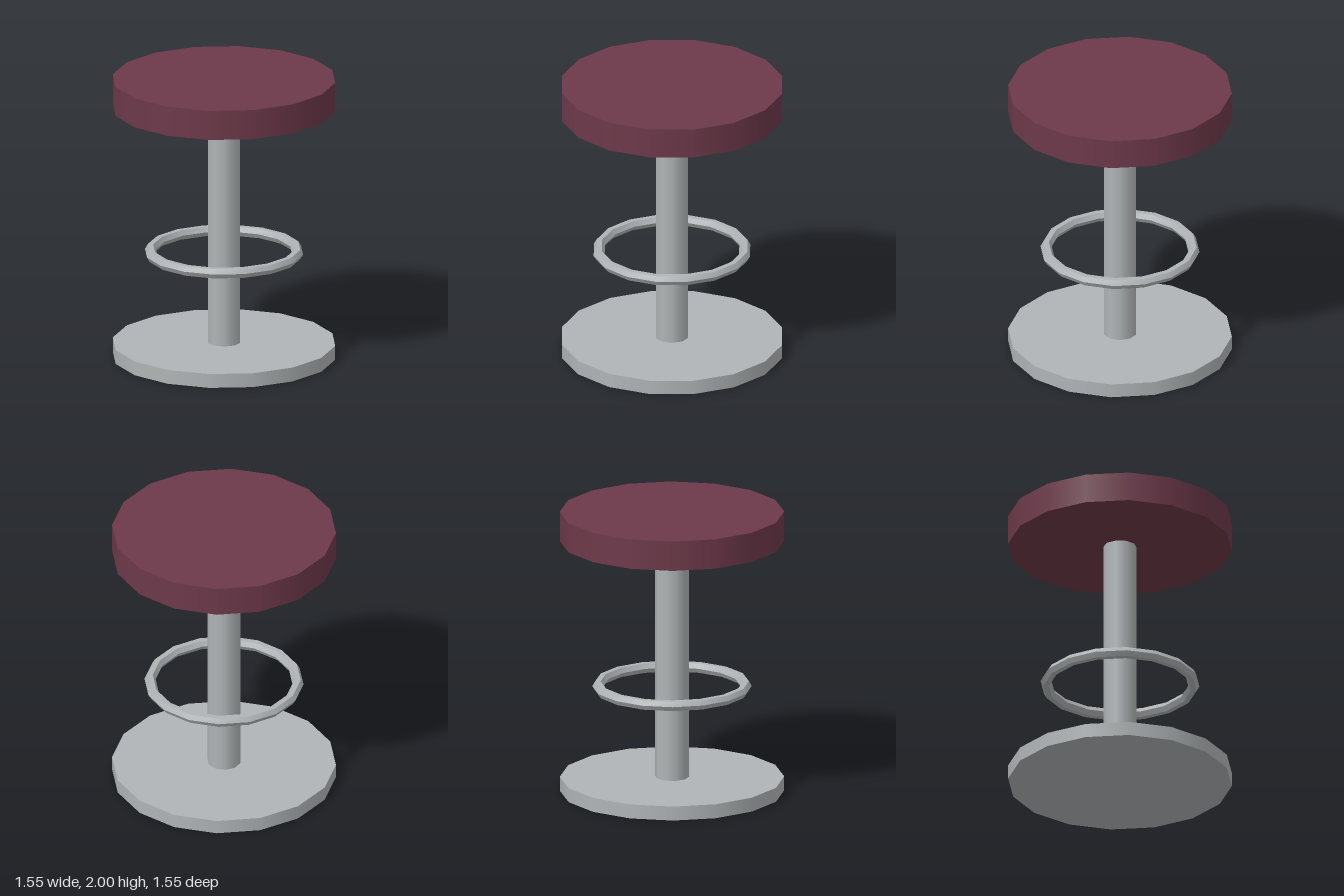
import * as THREE from 'three';
import { toCreasedNormals } from 'three/addons/utils/BufferGeometryUtils.js';

export function createModel() {
  const stool = new THREE.Group();
  stool.name = 'barStool';

  const upholstery = new THREE.MeshStandardMaterial({ color: 0x6e394a });
  upholstery.name = 'burgundy upholstery';
  const metal = new THREE.MeshStandardMaterial({ color: 0xb0b4b6 });
  metal.name = 'grey metal';

  // Upright cylinder spanning two heights
  const disc = (name, radius, bottom, top, sides, material) => {
    const mesh = new THREE.Mesh(
      new THREE.CylinderGeometry(radius, radius, top - bottom, sides), material);
    mesh.name = name;
    mesh.position.y = (bottom + top) / 2;
    stool.add(mesh);
  };

  disc('base', 0.775, 0, 0.1, 16, metal);
  disc('post', 0.116, 0.1, 1.79, 10, metal);
  disc('seat', 0.775, 1.79, 2, 16, upholstery);

  // Floating foot ring with a six-sided section, creased along its length
  const ring = new THREE.TorusGeometry(0.512, 0.0387, 6, 16).rotateX(Math.PI / 2);
  const footRing = new THREE.Mesh(toCreasedNormals(ring, 0.7), metal);
  footRing.name = 'footRing';
  footRing.position.y = 0.75;
  stool.add(footRing);

  return stool;
}
